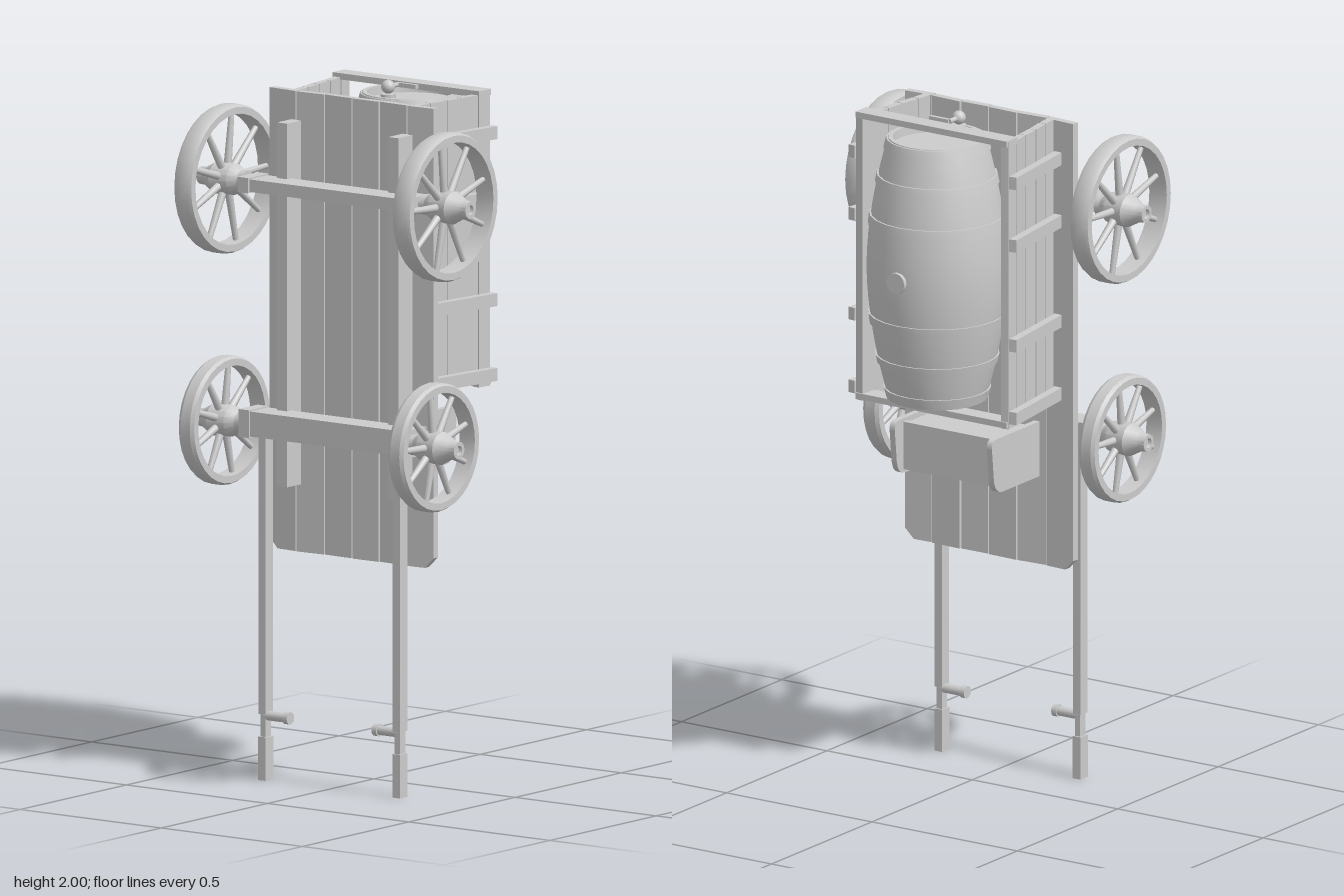
import * as THREE from 'three';
import { toCreasedNormals } from 'three/addons/utils/BufferGeometryUtils.js';

const mat = new THREE.MeshStandardMaterial({ color: 0xcccccc });

export function createModel() {
  const model = new THREE.Group();

  const add = (name, geo, x = 0, y = 0, z = 0, parent = model) => {
    const m = new THREE.Mesh(geo, mat);
    m.name = name;
    m.position.set(x, y, z);
    parent.add(m);
    return m;
  };
  const box = (name, w, h, d, x, y, z, parent) => add(name, new THREE.BoxGeometry(w, h, d), x, y, z, parent);
  const rod = (name, r, len, axis, x, y, z, parent, r2 = r, seg = 12) => {
    const m = add(name, new THREE.CylinderGeometry(r2, r, len, seg), x, y, z, parent);
    if (axis === 'x') m.rotation.z = -Math.PI / 2;
    if (axis === 'z') m.rotation.x = Math.PI / 2;
    return m;
  };
  // Profile of [radius, height] pairs, drawn counterclockwise
  const lathe = (profile, seg, crease = 0.5) => toCreasedNormals(
    new THREE.LatheGeometry(profile.map(([r, y]) => new THREE.Vector2(r, y)), seg), crease);

  // Floor planks, slightly uneven; the outer two have a clipped corner
  const seams = [-0.297, -0.197, -0.1, 0, 0.095, 0.195, 0.288];
  for (let i = 0; i < 6; i++) {
    const a = seams[i] + 0.002, b = seams[i + 1] - 0.002, w = (b - a) / 2;
    const cutL = i === 0 ? 0.03 : 0, cutR = i === 5 ? 0.03 : 0;
    const s = new THREE.Shape([
      [-w + cutL, 0.648], [w - cutR, 0.648], [w, 0.648 + cutR], [w, 1.97], [-w, 1.97], [-w, 0.648 + cutL],
    ].map(p => new THREE.Vector2(...p)));
    const g = new THREE.ExtrudeGeometry(s, { depth: 0.022, bevelEnabled: false });
    const m = add('floorPlank', g, (a + b) / 2, 0, 0.078 + (i % 2) * 0.003);
    m.rotation.y = [-0.06, 0.06, -0.03, 0.02, -0.04, 0.06][i];
  }

  // Leaning sides: boards, outer battens and long top rail
  const lean = 0.13;
  for (const s of [1, -1]) {
    const boards = [[0.1, 0.035], [0.033, -0.03], [-0.032, -0.09], [-0.092, -0.153]];
    boards.forEach(([z0, z1], i) => {
      const z = (z0 + z1) / 2;
      const m = box('sideBoard', 0.022, 0.82, z0 - z1, s * (0.213 + (0.08 - z) * lean), 1.56, z);
      m.rotation.y = -s * (lean + (i % 2 ? 0.05 : -0.04));
    });
    for (const y of [1.86, 1.675, 1.38, 1.165]) {
      const m = box('sideBatten', 0.024, 0.037, 0.285, s * 0.259, y, -0.058);
      m.rotation.y = -s * lean;
    }
    box('sideRail', 0.024, 0.85, 0.046, s * 0.247, 1.555, -0.178).rotation.y = -s * lean;
  }
  for (const y of [1.973, 1.142]) box('crossRail', 0.52, 0.018, 0.055, 0, y, -0.178);

  // Barrel: bulging staves with recessed heads
  const cx = -0.006, cz = -0.183;
  const bulge = y => 0.201 - 0.062 * Math.pow(Math.abs(y) / 0.385, 1.8);
  const profile = [[0, -0.36], [0.124, -0.36], [0.126, -0.385]];
  for (let i = 0; i <= 16; i++) {
    const y = -0.385 + i * 0.77 / 16;
    profile.push([bulge(y), y]);
  }
  profile.push([0.126, 0.385], [0.124, 0.36], [0, 0.36]);
  add('barrel', lathe(profile, 24), cx, 1.565, cz);
  // Hoops
  for (const s of [1, -1]) for (const [y, h] of [[0.367, 0.03], [0.265, 0.024], [0.145, 0.03]]) {
    const lo = s * y - h / 2, hi = s * y + h / 2, t = 0.005;
    add('barrelHoop', lathe([
      [bulge(lo) - 0.006, lo], [bulge(lo) + t, lo], [bulge(hi) + t, hi], [bulge(hi) - 0.006, hi],
    ], 24), cx, 1.565, cz);
  }
  rod('bung', 0.031, 0.03, 'z', cx, 1.565, -0.377);

  // Tap on the upper head
  rod('tapFlange', 0.022, 0.035, 'y', cx, 1.94, -0.075);
  add('tapKnob', new THREE.SphereGeometry(0.02, 12, 8), cx, 1.978, -0.075);
  rod('tapStem', 0.007, 0.05, 'z', cx, 1.978, -0.098);
  box('tapHandle', 0.066, 0.012, 0.012, cx + 0.034, 1.978, -0.122);

  // Seat: rounded side panels, seat board and riser
  const seat = new THREE.Shape();
  seat.moveTo(-0.08, 0.908);
  seat.lineTo(0.105, 0.908);
  seat.quadraticCurveTo(0.14, 0.91, 0.147, 0.95);
  seat.lineTo(0.157, 1.045);
  seat.quadraticCurveTo(0.157, 1.07, 0.135, 1.07);
  seat.lineTo(-0.08, 1.07);
  for (const s of [1, -1]) {
    const g = new THREE.ExtrudeGeometry(seat, { depth: 0.018, bevelEnabled: false });
    g.translate(0, 0, -0.009);
    add('seatSide', g, s * 0.167, 0, 0).rotation.y = Math.PI / 2;
  }
  box('seatBoard', 0.32, 0.14, 0.018, 0, 0.99, -0.105);
  box('seatRiser', 0.32, 0.018, 0.18, 0, 1.045, -0.015);

  // Chassis beams, king pin and axles
  for (const s of [1, -1]) box('chassisBeam', 0.036, 1.045, 0.07, s * 0.197, 1.365, 0.135);
  rod('kingPin', 0.024, 0.08, 'z', 0, 1.02, 0.13);
  box('rearAxle', 0.56, 0.036, 0.085, 0, 1.71, 0.193);
  box('frontAxle', 0.56, 0.072, 0.085, 0, 1.025, 0.193);
  for (const s of [1, -1]) {
    box('rearAxleBlock', 0.038, 0.044, 0.095, s * 0.283, 1.71, 0.193);
    box('frontAxleBlock', 0.038, 0.08, 0.09, s * 0.28, 1.025, 0.195);
  }

  // Shafts with a narrowed neck, a thick tip and a peg
  for (const s of [1, -1]) {
    box('shaft', 0.026, 0.86, 0.034, s * 0.238, 0.62, 0.193);
    box('shaftNeck', 0.018, 0.09, 0.026, s * 0.238, 0.155, 0.193);
    box('shaftTip', 0.027, 0.125, 0.036, s * 0.238, 0.0625, 0.193);
    rod('shaftPeg', 0.014, 0.085, 'x', s * 0.197, 0.185, 0.193);
    rod('shaftPegEnd', 0.018, 0.016, 'x', s * 0.158, 0.185, 0.193);
  }

  // Spoked wheels
  const wheel = (name, R, w, x, y, z, side) => {
    const g = new THREE.Group();
    g.name = name;
    g.position.set(side * x, y, z);
    if (side < 0) g.rotation.y = Math.PI;
    model.add(g);
    const h = w / 2, r = R - 0.026;
    const rim = lathe([[r, -h], [R - 0.006, -h], [R, -h * 0.6], [R, h * 0.6], [R - 0.006, h], [r, h], [r, -h]], 32);
    add('rim', rim, 0, 0, 0, g).rotation.z = -Math.PI / 2;
    const hub = lathe([
      [0, -0.105], [0.015, -0.105], [0.015, -0.072], [0.03, -0.072], [0.03, -0.055], [0.045, -0.03],
      [0.048, 0.03], [0.027, 0.068], [0.025, 0.09], [0.014, 0.09], [0.012, 0.08], [0, 0.08],
    ], 16);
    add('hub', hub, 0, 0, 0, g).rotation.z = -Math.PI / 2;
    for (let i = 0; i < 9; i++) {
      const pivot = new THREE.Group();
      pivot.name = 'spoke';
      pivot.rotation.x = i * Math.PI * 2 / 9 + 0.12;
      g.add(pivot);
      rod('spokeBar', 0.012, R - 0.05, 'y', 0, (R + 0.01) / 2, 0, pivot, 0.008, 8);
    }
  };
  for (const s of [1, -1]) {
    wheel('rearWheel', 0.213, 0.06, 0.387, 1.71, 0.178, s);
    wheel('frontWheel', 0.184, 0.054, 0.371, 1.022, 0.211, s);
  }
  return model;
}
